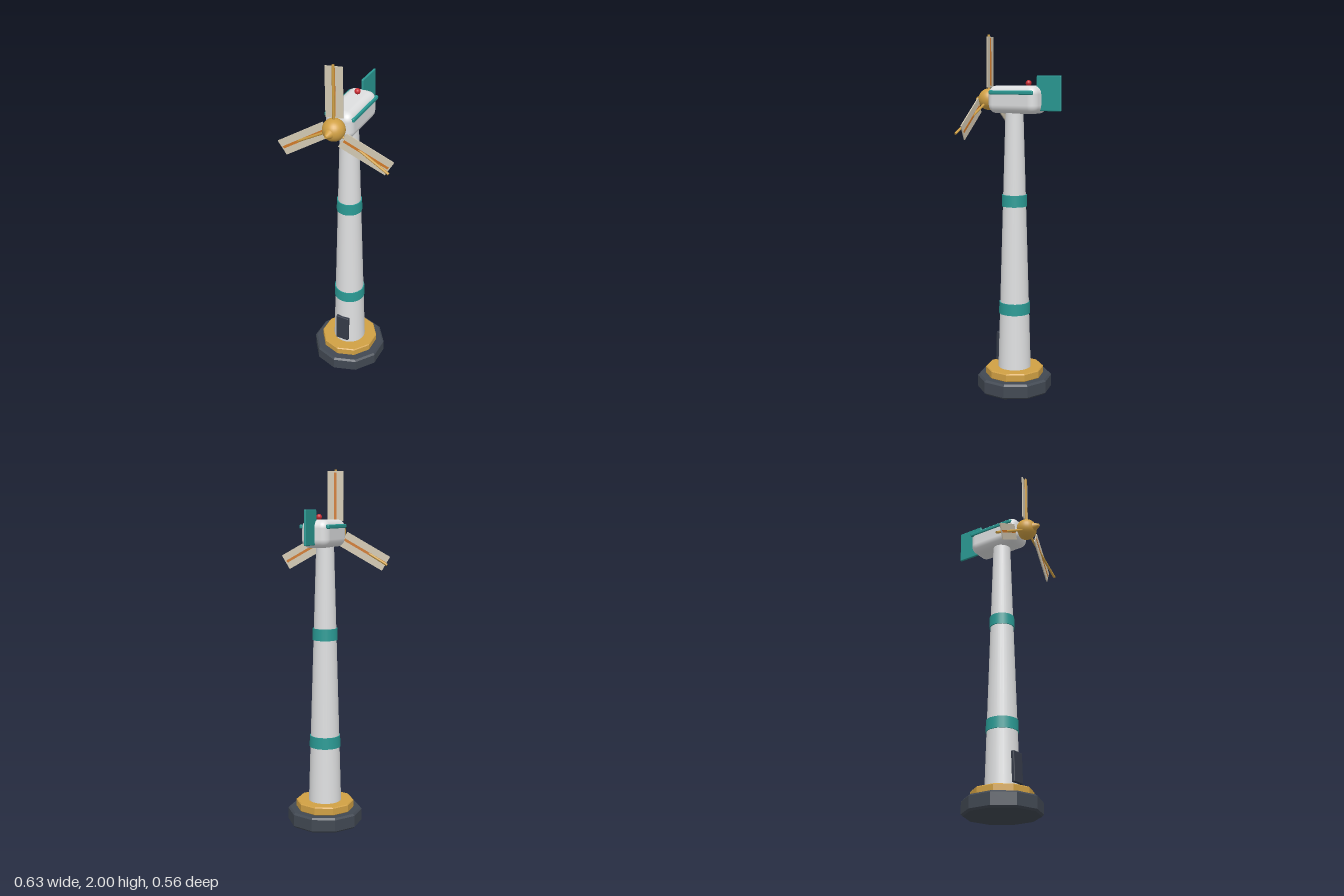
import * as THREE from 'three';
import { toCreasedNormals } from 'three/addons/utils/BufferGeometryUtils.js';
import { RoundedBoxGeometry } from 'three/addons/geometries/RoundedBoxGeometry.js';

const paint = (name, color) => {
  const m = new THREE.MeshStandardMaterial({ color });
  m.name = name;
  return m;
};

export function createModel() {
  const white = paint('white', 0xdedfe0);
  const teal = paint('teal', 0x2a9a94);
  const gold = paint('gold', 0xd0a044);
  const slate = paint('slate', 0x414852);
  const doorDark = paint('doorDark', 0x353b48);
  const cream = paint('cream', 0xd2c8b2);
  const orange = paint('orange', 0xd07a2a);
  const red = paint('red', 0xcc2a32);

  const model = new THREE.Group();
  model.name = 'windTurbine';
  const add = (name, geometry, material, x, y, z, parent = model) => {
    const mesh = new THREE.Mesh(geometry, material);
    mesh.name = name;
    mesh.position.set(x, y, z);
    parent.add(mesh);
    return mesh;
  };
  const rounded = (w, h, d, r) => new RoundedBoxGeometry(w, h, d, 4, r);

  const towerZ = 0.02;
  const hubY = 1.648, hubZ = 0.192;

  // Ten-sided plinth slabs with bevelled rims
  const slab = (r, h, b) => toCreasedNormals(new THREE.LatheGeometry([
    [0, 0], [r - b, 0], [r, b], [r, h - b], [r - b, h], [0, h],
  ].map(([x, y]) => new THREE.Vector2(x, y)), 10), 0.3);
  add('foundation', slab(0.212, 0.085, 0.01), slate, 0, 0, towerZ);
  add('plinth', slab(0.165, 0.047, 0.005), gold, 0, 0.084, towerZ);

  // Tapered tower with two bands
  const towerRadius = (y) => THREE.MathUtils.mapLinear(y, 0.13, 1.6, 0.093, 0.049);
  const ring = (y0, y1, extra) =>
    new THREE.CylinderGeometry(towerRadius(y1) + extra, towerRadius(y0) + extra, y1 - y0, 28);
  add('tower', ring(0.12, 1.6, 0), white, 0, 0.86, towerZ);
  add('lowerBand', ring(0.447, 0.512, 0.005), teal, 0, 0.4795, towerZ);
  add('upperBand', ring(1.06, 1.125, 0.006), teal, 0, 1.0925, towerZ);

  // Door leaning with the tower wall
  const door = add('door', rounded(0.08, 0.168, 0.02, 0.005), doorDark, 0, 0.241, 0.112);
  door.rotation.x = -0.03;

  // Nacelle, side rails, beacon and tail fin
  add('nacelle', rounded(0.158, 0.15, 0.318, 0.045), white, 0, 1.649, 0);
  for (const side of [-1, 1]) {
    add(side > 0 ? 'leftRail' : 'rightRail', rounded(0.018, 0.022, 0.284, 0.006),
      teal, side * 0.076, 1.688, -0.007);
  }
  add('beacon', new THREE.SphereGeometry(0.016, 20, 14), red, 0, 1.738, -0.073);
  add('tailFin', rounded(0.013, 0.188, 0.153, 0.005), teal, 0, 1.684, -0.2035);

  // Rotor hub and nose
  const rotor = new THREE.Group();
  rotor.name = 'rotor';
  rotor.position.set(0, hubY, hubZ);
  model.add(rotor);
  add('hub', new THREE.SphereGeometry(0.06, 28, 20), gold, 0, 0, 0, rotor);
  const nose = add('nose', new THREE.CylinderGeometry(0.008, 0.03, 0.042, 20), gold, 0, 0, 0.065, rotor);
  nose.rotation.x = Math.PI / 2;

  // Three spars, each carrying a twisted blade with a centre strip
  for (let i = 0; i < 3; i++) {
    const angle = (i * Math.PI * 2) / 3;
    const at = (r) => [-Math.sin(angle) * r, Math.cos(angle) * r];
    const spar = add('spar', new THREE.CylinderGeometry(0.007, 0.007, 0.352, 10), gold, ...at(0.176), 0, rotor);
    spar.rotation.z = angle;

    const blade = new THREE.Group();
    blade.name = 'blade';
    blade.position.set(...at(0.203), -0.008);
    blade.rotation.set(0, 0.26, angle);
    rotor.add(blade);
    add('sail', new THREE.BoxGeometry(0.09, 0.277, 0.006), cream, 0, 0, 0, blade);
    add('strip', new THREE.BoxGeometry(0.014, 0.262, 0.009), orange, 0, 0, 0, blade);
  }
  return model;
}
